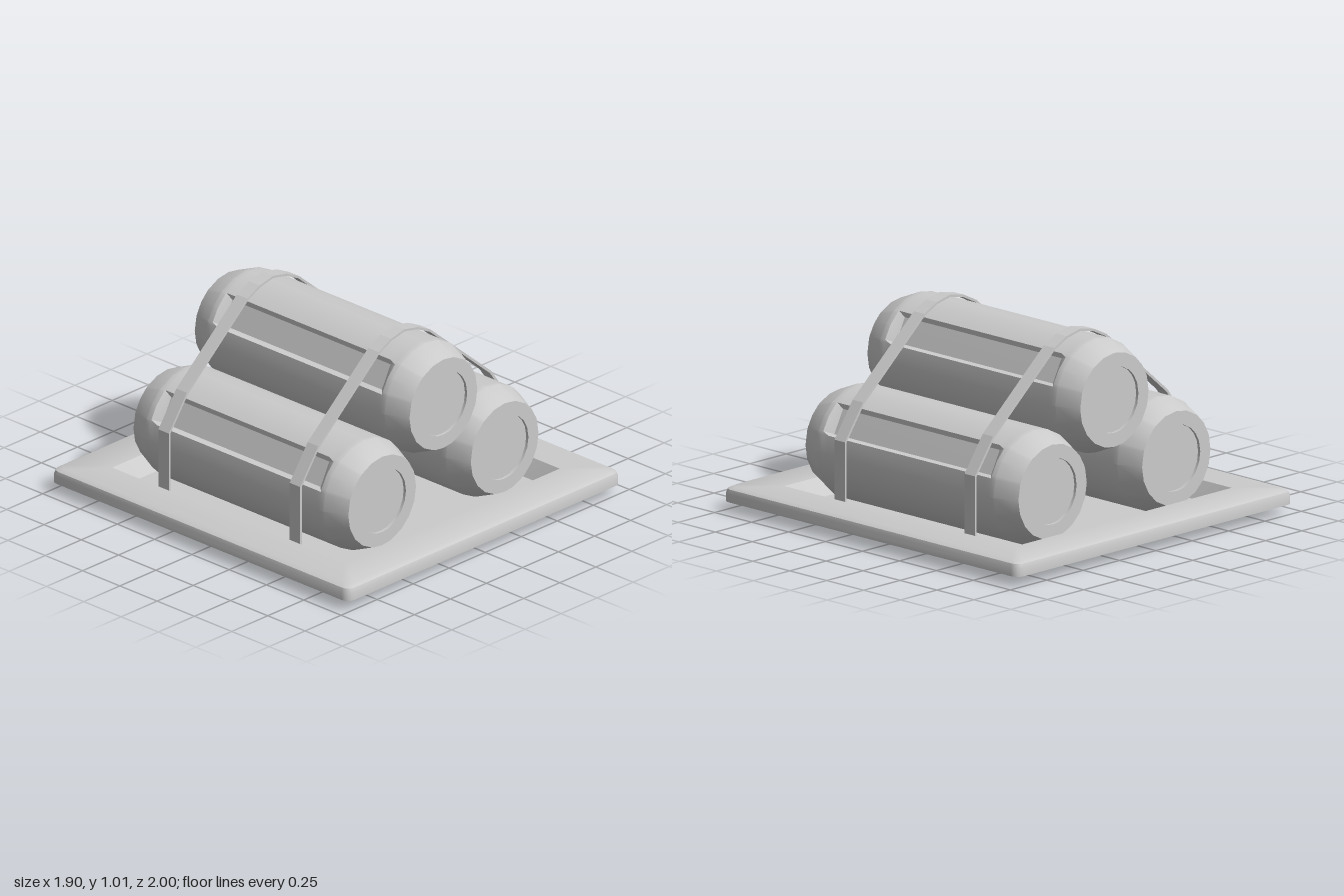
import * as THREE from 'three';
import { toCreasedNormals } from 'three/addons/utils/BufferGeometryUtils.js';

const material = new THREE.MeshStandardMaterial({ color: 0xcccccc });
const rad = THREE.MathUtils.degToRad;

// Skin a list of equal-length rings and close both ends with fans
function loft(rings, crease) {
  const n = rings[0].length;
  const pos = rings.flat().flatMap((p) => [p.x, p.y, p.z]);
  const index = [];
  for (let i = 0; i < rings.length - 1; i++) {
    for (let j = 0; j < n; j++) {
      const a = i * n + j, b = i * n + (j + 1) % n;
      index.push(a, b, b + n, a, b + n, a + n);
    }
  }
  [0, rings.length - 1].forEach((r, end) => {
    const c = new THREE.Vector3();
    rings[r].forEach((p) => c.addScaledVector(p, 1 / n));
    const centre = pos.length / 3;
    pos.push(c.x, c.y, c.z);
    for (let j = 0; j < n; j++) {
      const a = r * n + j, b = r * n + (j + 1) % n;
      index.push(centre, ...(end ? [a, b] : [b, a]));
    }
  });
  const g = new THREE.BufferGeometry();
  g.setAttribute('position', new THREE.Float32BufferAttribute(pos, 3));
  g.setIndex(index);
  return toCreasedNormals(g, crease);
}

// Horizontal rounded rectangle
function rectRing(hx, hz, y, r) {
  const ring = [];
  for (let q = 0; q < 4; q++) {
    const sx = q === 0 || q === 3 ? 1 : -1, sz = q < 2 ? -1 : 1;
    for (let k = 0; k <= 4; k++) {
      const a = (q + k / 4) * Math.PI / 2;
      ring.push(new THREE.Vector3(
        sx * (hx - r) + r * Math.cos(a), y, sz * (hz - r) - r * Math.sin(a)));
    }
  }
  return ring;
}

// Half of the barrel section: [angle, radius on the slotted length]
const R = 0.285;
const half = [
  [-90, 0.248], [-77, 0.252], [-73, R], [-55, R], [-37, R], [-18, R], [0, R],
  [18.4, R], [21.4, 0.247], [36.4, 0.2485], [50.3, 0.266], [53.5, R], [72, R], [90, R],
];
const section = [
  ...half,
  ...half.slice(1, -1).reverse().map(([a, r]) => [180 - a, r]),
];

function barrelRing(z, radius, slotted) {
  return section.map(([a, r]) => {
    const d = slotted ? r : radius;
    return new THREE.Vector3(d * Math.cos(rad(a)), d * Math.sin(rad(a)), z);
  });
}

// Barrel: recessed ends, tapered shoulders and long slots
function barrelGeometry() {
  const ends = [
    [0.705, 0.165], [0.72, 0.165], [0.72, 0.235], [0.695, 0.245],
    [0.6, R], [0.57, R], [0.53, R, true],
  ];
  return loft([
    ...ends.map(([z, r, s]) => barrelRing(-z, r, s)),
    ...ends.slice().reverse().map(([z, r, s]) => barrelRing(z, r, s)),
  ], 0.4);
}

// Strap: a thin band bent over the stack
function strapGeometry(width) {
  const outer = [
    [0.725, 0.06], [0.725, 0.415], [0.6, 0.59], [0.18, 0.95], [0.095, 0.992], [0, 1.012],
  ];
  const inner = [
    [0.713, 0.06], [0.713, 0.411], [0.592, 0.58], [0.174, 0.94], [0.09, 0.981], [0, 1.0],
  ];
  const mirror = (pts) => pts.slice(0, -1).reverse().map(([x, y]) => [-x, y]);
  const loop = [
    ...outer, ...mirror(outer),
    ...[...inner, ...mirror(inner)].reverse(),
  ].map(([x, y]) => new THREE.Vector2(x, y));
  const g = new THREE.ExtrudeGeometry(new THREE.Shape(loop), { depth: width, bevelEnabled: false });
  return g.translate(0, 0, -width / 2);
}

export function createModel() {
  const model = new THREE.Group();
  model.name = 'strappedBarrels';
  const add = (name, geometry, x, y, z) => {
    const mesh = new THREE.Mesh(geometry, material);
    mesh.name = name;
    mesh.position.set(x, y, z);
    model.add(mesh);
  };

  // Pallet: sunken pan with a rounded rim
  add('pallet', loft([
    rectRing(0.68, 0.72, 0, 0.004),
    rectRing(0.76, 0.8, 0.05, 0.004),
    rectRing(0.95, 1, 0.05, 0.045),
    rectRing(0.95, 1, 0.09, 0.045),
    rectRing(0.943, 0.993, 0.112, 0.045),
    rectRing(0.92, 0.97, 0.125, 0.04),
    rectRing(0.745, 0.78, 0.125, 0.004),
    rectRing(0.69, 0.725, 0.04, 0.004),
  ], 0.6), 0, 0, 0);

  // Three stacked barrels
  const barrel = barrelGeometry();
  add('topBarrel', barrel, 0, 0.7, 0);
  add('leftBarrel', barrel, 0.425, 0.325, 0);
  add('rightBarrel', barrel, -0.425, 0.325, 0);

  // Two straps
  const strap = strapGeometry(0.07);
  add('frontStrap', strap, 0, 0, 0.425);
  add('backStrap', strap, 0, 0, -0.455);

  return model;
}
